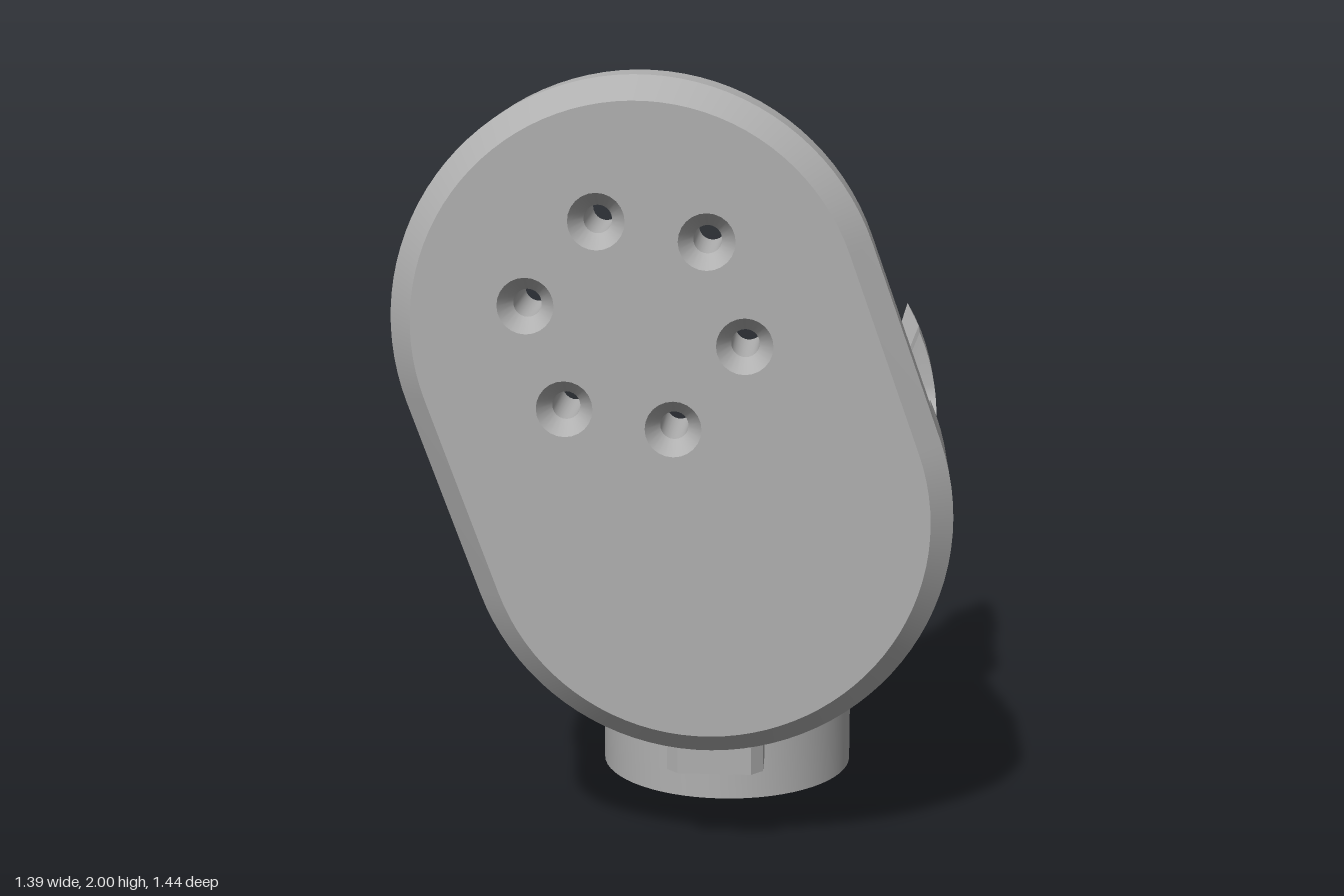
import * as THREE from 'three';
import { toCreasedNormals } from 'three/addons/utils/BufferGeometryUtils.js';

const PI = Math.PI, DEG = PI / 180;
const grey = new THREE.MeshStandardMaterial({ color: 0xb0b0b0, side: THREE.DoubleSide });
grey.name = 'grey metal';

// Main axes, seen from the front
const PIVOT = { x: -0.09, y: 1.39 };    // boss and clearance cuts
const BARREL = { x: 0.085, y: 0.9 };    // barrel and lower end of the plate
const STEM = { x: 0.1, z: -0.105 };     // vertical stem
const OUT = 0.61, POCKET = 0.455, BORE = 0.07, HOLE = 0.035, FLOOR = 0.38;
const DIST = Math.hypot(PIVOT.x - BARREL.x, PIVOT.y - BARREL.y);
const TILT = Math.atan2(PIVOT.y - BARREL.y, PIVOT.x - BARREL.x);
const BACK = -0.72, PLATE = 0.515, BEVEL = 0.66, FRONT = 0.72;

const ring = (cx, cy, r, angles) => angles.map(a => [cx + r * Math.cos(a * DEG), cy + r * Math.sin(a * DEG)]);
const circle = (cx, cy, r, n = 24) => ring(cx, cy, r, Array.from({ length: n }, (_, i) => i * 360 / n));

function add(group, name, geo) {
  const mesh = new THREE.Mesh(geo, grey);
  mesh.name = name;
  group.add(mesh);
  return mesh;
}

// Flat face with round holes [x, y, r]; back = true makes it face -z
function face(points, holes, z, back = false) {
  const s = back ? -1 : 1;
  const flip = list => list.map(p => new THREE.Vector2(s * p[0], p[1]));
  const shape = new THREE.Shape(flip(points));
  for (const [x, y, r] of holes) shape.holes.push(new THREE.Path(flip(circle(x, y, r))));
  const geo = new THREE.ShapeGeometry(shape);
  return geo.rotateY(back ? PI : 0).translate(0, 0, z);
}

// Skin over closed loops of equal length; skip(j) leaves a column open
function loft(loops, skip = () => false, crease = 0.6) {
  const pos = [], n = loops[0].length;
  const tri = (...p) => pos.push(...p.flat());
  for (let i = 0; i + 1 < loops.length; i++) for (let j = 0; j < n; j++) {
    if (skip(j)) continue;
    const k = (j + 1) % n, a = loops[i][j], b = loops[i][k], c = loops[i + 1][j], d = loops[i + 1][k];
    tri(a, c, b);
    tri(b, c, d);
  }
  const geo = new THREE.BufferGeometry();
  geo.setAttribute('position', new THREE.Float32BufferAttribute(pos, 3));
  geo.computeVertexNormals();
  return toCreasedNormals(geo, crease);
}

// Hole wall along z between two radii, with an optional floor at z1
function drill(group, name, x, y, r0, z0, r1, z1, closed = false) {
  const wall = new THREE.CylinderGeometry(r1, r0, z1 - z0, 24, 1, true);
  add(group, name, wall.rotateX(PI / 2).translate(x, y, (z0 + z1) / 2));
  if (closed) add(group, name + 'Floor', face(circle(x, y, r1), [], z1, true));
}

// Piecewise linear lookup
function lookup(table, z) {
  for (let i = 1; i < table.length; i++) {
    const [z0, v0] = table[i - 1], [z1, v1] = table[i];
    if (z <= z1) return v0 + (v1 - v0) * (z - z0) / (z1 - z0);
  }
  return table[table.length - 1][1];
}

// Clearance radius around the pivot along the barrel
const CLEAR = [[-0.72, 0.72], [-0.688, 0.77], [-0.265, 0.77], [-0.255, 0.885],
  [0.038, 0.885], [0.048, 0.77], [0.48, 0.77], [0.515, 0.72], [0.53, 0.72]];
// Level of the notch in the left wall, with a deeper slot and round corners
function notch(z) {
  if (z < -0.58 || z > 0.37) return 9;
  if (z > -0.268 && z < 0.058) return lookup([[-0.268, 0.87], [-0.245, 0.77], [0.035, 0.77], [0.058, 0.87]], z);
  const d = Math.max(z - 0.26, -0.47 - z, 0);
  return 1 - Math.sqrt(Math.max(0, 0.0121 - d * d)) + 0;
}
const inPocket = z => z < -0.36 || (z > 0.14 && z < 0.43);
// Bolt bores: x of each column and the z of its bores
const BORES = [[-0.136, [-0.2415, 0.0315]], [0.1, [-0.378, 0.168]], [0.336, [-0.2415, 0.0315]]];

// Closed cross-section of the barrel at z
function section(z, holeColumns) {
  const R = lookup(CLEAR, z), level = notch(z);
  const delta = Math.acos((DIST ** 2 + OUT ** 2 - R ** 2) / (2 * DIST * OUT));
  const aLeft = TILT + delta;
  const aRight = Math.min(TILT - delta, Math.asin(Math.min(1, (level - BARREL.y) / OUT)));
  const top = x => Math.min(level, PIVOT.y - Math.sqrt(Math.max(0, R * R - (x - PIVOT.x) ** 2)));
  const hollow = x => {
    const d = POCKET ** 2 - (x - BARREL.x) ** 2;
    return inPocket(z) && d >= 0 ? Math.min(top(x), BARREL.y - Math.sqrt(d)) : top(x);
  };
  const pts = [];
  const span = (x0, x1, n, f) => {
    for (let i = 0; i <= n; i++) { const x = x0 + (x1 - x0) * i / n; pts.push([x, f(x), z]); }
  };
  let x = -0.3;
  span(BARREL.x + OUT * Math.cos(aLeft), x, 8, hollow);
  for (const [bx, zs] of BORES) {
    const width = r => Math.max(...zs.map(c => Math.sqrt(Math.max(0, r * r - (z - c) ** 2))));
    const w = width(BORE), h = width(HOLE);
    const floor = w > 1e-4 ? () => FLOOR : hollow;
    span(x, bx - w, 6, hollow);
    span(bx - w, bx - h, 1, floor);
    if (holeColumns) holeColumns.add(pts.length - 1);
    span(bx + h, bx + w, 1, floor);
    x = bx + w;
  }
  const edge = BARREL.x + POCKET - 0.0005;
  span(x, edge, 10, hollow);
  span(edge, BARREL.x + OUT * Math.cos(aRight), 4, top);
  const end = aLeft - 2 * PI;
  for (let i = 1; i < 48; i++) {
    const a = aRight + (end - aRight) * i / 48;
    pts.push([BARREL.x + OUT * Math.cos(a), BARREL.y + OUT * Math.sin(a), z]);
  }
  return pts;
}

function buildBarrel() {
  const g = new THREE.Group();
  g.name = 'barrel';
  const rows = new Set(CLEAR.map(c => c[0]));
  for (let z = -0.72; z < 0.52; z += 0.03) rows.add(z);
  for (const e of [-0.58, -0.36, -0.268, -0.245, 0.035, 0.058, 0.14, 0.37, 0.43]) rows.add(e - 0.0003).add(e + 0.0003);
  for (let i = 0; i <= 6; i++) {
    const d = 0.11 * Math.sin(i * PI / 12);
    rows.add(0.26 + d - 0.0004).add(-0.47 - d + 0.0004);
  }
  for (const c of [-0.378, -0.2415, 0.0315, 0.168]) for (const r of [BORE, HOLE]) {
    for (let i = 0; i <= 12; i++) rows.add(c + r * Math.cos(i * PI / 12));
    rows.add(c + r * 0.9985).add(c - r * 0.9985);
  }
  const open = new Set();
  section(0, open);
  const loops = [...rows].sort((a, b) => a - b).map(z => section(z));
  add(g, 'barrelShell', loft(loops, j => open.has(j)));

  // Rear rim with its screw holes
  const rim = section(BACK).filter((p, i, l) => i === 0 || Math.hypot(p[0] - l[i - 1][0], p[1] - l[i - 1][1]) > 1e-4);
  const screws = ring(BARREL.x, BARREL.y, 0.532, [-2, -51, -98, -146]);
  add(g, 'rearRim', face(rim, screws.map(p => [...p, 0.042]), BACK, true));
  for (const [x, y] of screws) drill(g, 'rimHole', x, y, 0.042, BACK, 0.03, BACK + 0.07, true);
  return g;
}

function buildPlate() {
  const g = new THREE.Group();
  g.name = 'plate';
  // Stadium outline around the two axes
  const outline = r => {
    const half = (c, start) => ring(c.x, c.y, r, Array.from({ length: 49 }, (_, i) => start + i * 180 / 48));
    const t = TILT / DEG;
    return [...half(PIVOT, t - 90), ...half(BARREL, t + 90)];
  };
  const at = (r, z) => outline(r).map(p => [p[0], p[1], z]).reverse();
  add(g, 'plateEdge', loft([at(OUT, PLATE), at(OUT, BEVEL), at(OUT - 0.058, FRONT)]));
  const bolts = ring(PIVOT.x, PIVOT.y + 0.005, 0.272, [110, 50, -10, -70, -130, 170]);
  const blind = ring(PIVOT.x, PIVOT.y + 0.005, 0.272, [80, -40, 200]);
  add(g, 'plateFront', face(outline(OUT - 0.058), bolts.map(p => [...p, 0.07]), FRONT));
  add(g, 'plateBack', face(outline(OUT), bolts.map(p => [...p, HOLE]), PLATE, true));
  // Round boss on the back of the plate
  const bossZ = 0.435, disc = (r, z) => circle(PIVOT.x, PIVOT.y, r, 64).map(p => [...p, z]).reverse();
  add(g, 'bossSide', loft([disc(0.358, bossZ), disc(0.358, 0.49), disc(0.385, PLATE)], undefined, 0.5));
  add(g, 'bossFace', face(circle(PIVOT.x, PIVOT.y, 0.358, 64), [...bolts, ...blind].map(p => [...p, HOLE]), bossZ, true));
  for (const [x, y] of bolts) {
    drill(g, 'boltHole', x, y, HOLE, bossZ, HOLE, FRONT - 0.05);
    drill(g, 'countersink', x, y, HOLE, FRONT - 0.05, 0.07, FRONT);
  }
  for (const [x, y] of blind) drill(g, 'blindHole', x, y, HOLE, bossZ, HOLE, bossZ + 0.08, true);
  return g;
}

function buildStem() {
  const g = new THREE.Group();
  g.name = 'stem';
  const profile = [[0.35, 0], [0.35, 0.195], [0.365, 0.198], [0.37, 0.205]].map(p => new THREE.Vector2(...p));
  add(g, 'stemSide', toCreasedNormals(new THREE.LatheGeometry(profile, 64), 0.5)).position.set(STEM.x, 0, STEM.z);

  // Collar that flares into the underside of the barrel
  const steps = Array.from({ length: 11 }, (_, i) => new THREE.Vector2(0.37, i / 10));
  const collar = new THREE.LatheGeometry(steps, 64), p = collar.attributes.position;
  for (let i = 0; i < p.count; i++) {
    const t = p.getY(i), dz = p.getZ(i) / 0.37, k = 1 + 0.12 * t ** 3 * dz * dz;
    const x = STEM.x + p.getX(i) * k;
    const under = BARREL.y - Math.sqrt(OUT ** 2 - (x - BARREL.x) ** 2);
    p.setXYZ(i, x, 0.205 + t * (under + 0.008 - 0.205), STEM.z + p.getZ(i) * k);
  }
  collar.computeVertexNormals();
  add(g, 'collar', collar);

  // Underside with through and blind holes
  const bolts = ring(STEM.x, STEM.z, 0.273, [30, 90, 150, 210, 270, 330]);
  const blind = ring(STEM.x, STEM.z, 0.273, [0, 120, 240]);
  const bottom = face(circle(STEM.x, STEM.z, 0.35, 64), [...bolts, ...blind].map(q => [...q, HOLE]), 0);
  add(g, 'stemBottom', bottom.rotateX(PI / 2));
  const wall = (name, x, z, h) => add(g, name,
    new THREE.CylinderGeometry(HOLE, HOLE, h, 24, 1, true).translate(x, h / 2, z));
  for (const [x, z] of bolts) wall('stemBoltHole', x, z, FLOOR);
  for (const [x, z] of blind) {
    wall('stemBlindHole', x, z, 0.08);
    add(g, 'stemBlindFloor', new THREE.CircleGeometry(HOLE, 24).rotateX(PI / 2).translate(x, 0.08, z));
  }
  return g;
}

// Small lug under the plate with a hole from below
function buildLug() {
  const s = new THREE.Shape(), x0 = -0.022, x1 = 0.226, z0 = 0.467, z1 = 0.638, c = 0.03;
  s.setFromPoints([[x0 + c, z0], [x1 - c, z0], [x1, z0 + c], [x1, z1 - c], [x1 - c, z1],
    [x0 + c, z1], [x0, z1 - c], [x0, z0 + c]].map(q => new THREE.Vector2(...q)));
  s.holes.push(new THREE.Path(circle(0.102, 0.55, 0.04).map(q => new THREE.Vector2(...q))));
  const geo = new THREE.ExtrudeGeometry(s, { depth: 0.11, bevelEnabled: false });
  return geo.rotateX(PI / 2).translate(0, 0.328, 0);
}

export function createModel() {
  const model = new THREE.Group();
  model.name = 'jointBracket';
  model.add(buildBarrel(), buildPlate(), buildStem());
  add(model, 'lug', buildLug());
  return model;
}
